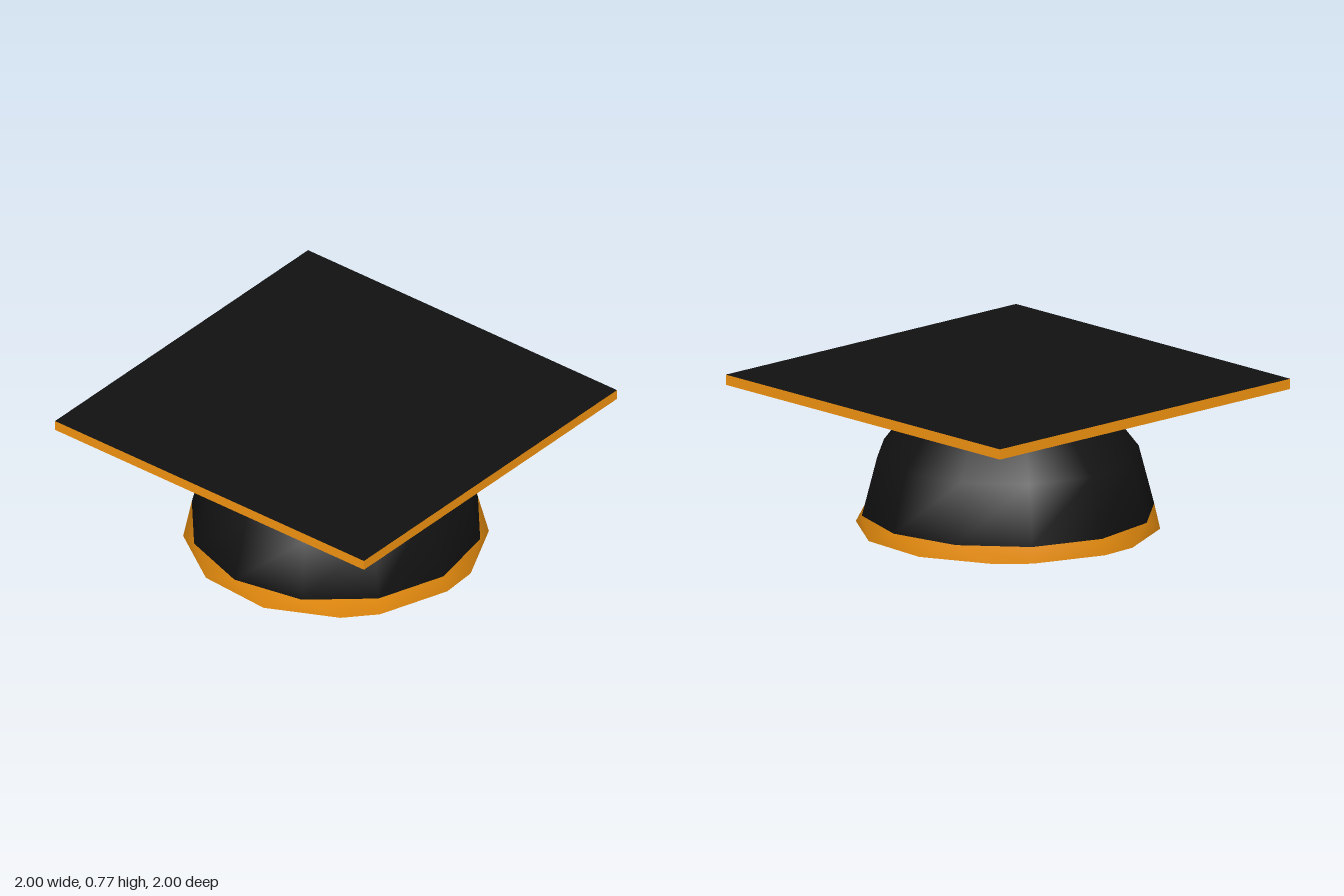
import * as THREE from 'three';

const R = 0.766;          // cap sphere radius
const BAND_Y = 0.08;      // top of the headband
const BOARD_LOW = 0.715, BOARD_HIGH = 0.768;

const black = new THREE.MeshStandardMaterial({ color: 0x111111, side: THREE.DoubleSide });
const orange = new THREE.MeshStandardMaterial({ color: 0xf39410, side: THREE.DoubleSide });
const trimOrange = new THREE.MeshStandardMaterial({ color: 0xf39410, flatShading: true });

// Point on a ring: angle in degrees from +z towards +x
function ringPoint(deg, radius, y) {
  const a = THREE.MathUtils.degToRad(deg);
  return new THREE.Vector3(Math.sin(a) * radius, y, Math.cos(a) * radius);
}

// Smooth surface, with normals following the cap's sphere
function surface(points, index) {
  const g = new THREE.BufferGeometry().setFromPoints(points);
  g.setAttribute('normal', new THREE.Float32BufferAttribute(
    points.flatMap((p) => p.clone().normalize().toArray()), 3));
  g.setIndex(index);
  return g;
}

function add(group, name, geometry, material) {
  const mesh = new THREE.Mesh(geometry, material);
  mesh.name = name;
  group.add(mesh);
  return mesh;
}

const upperAngles = Array.from({ length: 12 }, (_, k) => 30 * k - 4);

// Domed crown: rings of 12; at skipped corners the facet runs straight through
function crownGeometry() {
  const rings = [{ y: BAND_Y, r: 0.742, skip: [] }];
  [[30, [0]], [45, [6]], [60, [0, 9]], [75, []]].forEach(([lat, skip]) => {
    const a = THREE.MathUtils.degToRad(lat);
    rings.push({ y: R * Math.sin(a), r: R * Math.cos(a), skip });
  });
  const points = [], index = [];
  rings.forEach((ring, i) => upperAngles.forEach((deg, k) => {
    let r = ring.r;
    if (ring.skip.includes(k)) {
      const lo = rings[i - 1], hi = rings[i + 1];
      r = THREE.MathUtils.mapLinear(ring.y, lo.y, hi.y, lo.r, hi.r);
    }
    points.push(ringPoint(deg, r, ring.y));
    if (i === 0) return;
    const n = (k + 1) % 12, a = (i - 1) * 12, b = i * 12;
    index.push(a + k, a + n, b + n, a + k, b + n, b + k);
  }));
  return surface(points, index);
}

// Headband: 14-sided hem stitched to the 12-sided lower edge of the crown
function bandGeometry() {
  const half = [-4, 11, 41, 71, 101, 131, 146];
  const lower = [...half, ...half.map((d) => d + 180)];
  const n = lower.length, m = upperAngles.length;
  const points = [
    ...lower.map((d) => ringPoint(d, R, 0)),
    ...upperAngles.map((d) => ringPoint(d, 0.742, BAND_Y)),
  ];
  const angle = (list, i) => list[i % list.length] + 360 * Math.floor(i / list.length);
  const index = [];
  let i = 0, j = 0;
  while (i < n || j < m) {
    const stepLower = j === m || (i < n && angle(lower, i + 1) <= angle(upperAngles, j + 1));
    if (stepLower) {
      index.push(i % n, (i + 1) % n, n + (j % m));
      i++;
    } else {
      index.push(i % n, n + ((j + 1) % m), n + (j % m));
      j++;
    }
  }
  return surface(points, index);
}

export function createModel() {
  const group = new THREE.Group();
  group.name = 'graduationCap';

  add(group, 'crown', crownGeometry(), black);
  add(group, 'headband', bandGeometry(), orange);

  // Square board: black faces with a coloured edge
  const board = new THREE.Group();
  board.name = 'board';
  group.add(board);
  const top = add(board, 'boardTop', new THREE.PlaneGeometry(2, 2), black);
  top.rotation.x = -Math.PI / 2;
  top.position.y = BOARD_HIGH;
  const bottom = add(board, 'boardUnderside', new THREE.PlaneGeometry(2, 2), black);
  bottom.rotation.x = Math.PI / 2;
  bottom.position.y = BOARD_LOW;
  const edge = add(board, 'boardEdge',
    new THREE.CylinderGeometry(Math.SQRT2, Math.SQRT2, BOARD_HIGH - BOARD_LOW, 4, 1, true), trimOrange);
  edge.rotation.y = Math.PI / 4;
  edge.position.y = (BOARD_HIGH + BOARD_LOW) / 2;

  return group;
}
